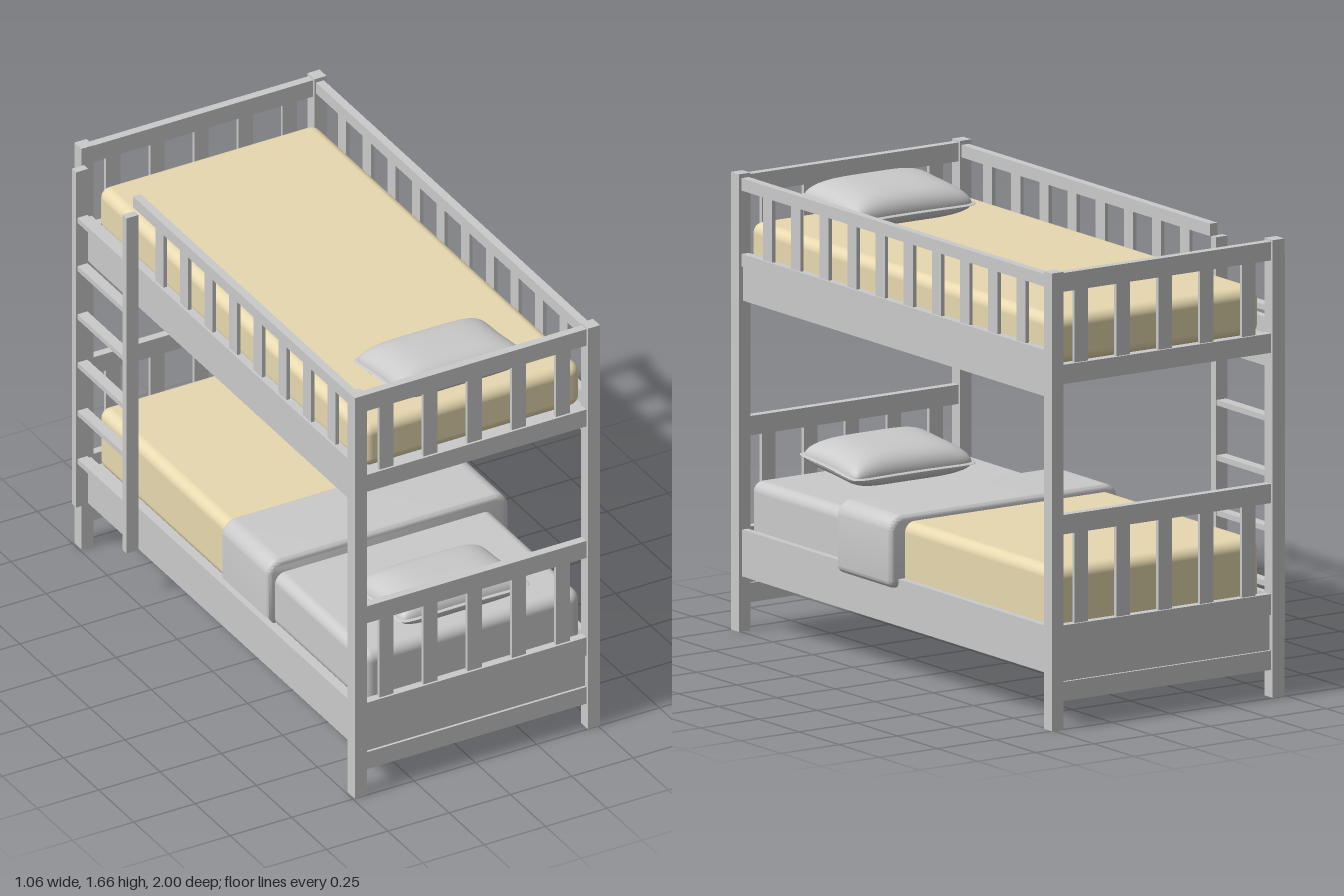
import * as THREE from 'three';
import { mergeVertices, toCreasedNormals } from 'three/addons/utils/BufferGeometryUtils.js';
import { RoundedBoxGeometry } from 'three/addons/geometries/RoundedBoxGeometry.js';

const grey = new THREE.MeshStandardMaterial({ color: 0xcacaca });
grey.name = 'pale grey';
const tan = new THREE.MeshStandardMaterial({ color: 0xeadbb1 });
tan.name = 'sand';

const CX = 0.008; // centre line of the frame, offset by the ladder

function add(parent, name, geometry, material = grey) {
  const mesh = new THREE.Mesh(geometry, material);
  mesh.name = name;
  parent.add(mesh);
  return mesh;
}

// Box given by its limits; a radius gives rounded edges
function block(parent, name, [x0, x1], [y0, y1], [z0, z1], material = grey, radius = 0) {
  const size = [x1 - x0, y1 - y0, z1 - z0];
  const geometry = radius
    ? new RoundedBoxGeometry(...size, 5, radius)
    : new THREE.BoxGeometry(...size);
  const mesh = add(parent, name, geometry, material);
  mesh.position.set((x0 + x1) / 2, (y0 + y1) / 2, (z0 + z1) / 2);
  return mesh;
}

const around = (centre, width) => [centre - width / 2, centre + width / 2];

// Half of a cushion: a sheet with pinched sides and rounded corners that bulges upwards
function bulge(width, depth, height) {
  let geometry = new THREE.PlaneGeometry(2, 2, 32, 32).rotateX(-Math.PI / 2);
  const p = geometry.attributes.position;
  for (let i = 0; i < p.count; i++) {
    const u = Math.sin(p.getX(i) * Math.PI / 2);
    const v = Math.sin(p.getZ(i) * Math.PI / 2);
    const corner = 1 - 0.09 * Math.pow(u * v, 6);
    const x = u * width / 2 * (1 - 0.06 * (1 - v * v)) * corner;
    const z = v * depth / 2 * (1 - 0.06 * (1 - u * u)) * corner;
    const y = height * Math.sqrt(Math.max(0, (1 - u ** 4) * (1 - v ** 4)));
    p.setXYZ(i, x, y, z);
  }
  geometry.deleteAttribute('normal');
  geometry.deleteAttribute('uv');
  geometry = mergeVertices(geometry);
  geometry.computeVertexNormals();
  return geometry;
}

function pillow(parent, name, mattressTop) {
  const group = new THREE.Group();
  group.name = name;
  add(group, 'pillowTop', bulge(0.535, 0.365, 0.076));
  add(group, 'pillowBottom', bulge(0.535, 0.365, 0.056)).rotation.x = Math.PI;
  // Flat seam around the edge
  add(group, 'seamTop', bulge(0.56, 0.39, 0.009));
  add(group, 'seamBottom', bulge(0.56, 0.39, 0.009)).rotation.x = Math.PI;
  group.position.set(0.003, mattressTop + 0.056, 0.753);
  group.rotation.x = -0.1;
  parent.add(group);
}

// Folded cover: rounded cross-section drawn across the bed, with softened edges
function foldedCover(parent, [x0, x1], [y0, y1], [z0, z1]) {
  const bevel = 0.02, r = 0.04;
  const l = x0 + bevel, right = x1 - bevel, b = y0 + bevel, t = y1 - bevel;
  const shape = new THREE.Shape();
  shape.moveTo(l, b);
  shape.lineTo(right - 0.012, b);
  shape.quadraticCurveTo(right, b, right, b + 0.012);
  shape.lineTo(right, t - r);
  shape.absarc(right - r, t - r, r, 0, Math.PI / 2, false);
  shape.lineTo(l + r, t);
  shape.absarc(l + r, t - r, r, Math.PI / 2, Math.PI, false);
  shape.closePath();
  const geometry = new THREE.ExtrudeGeometry(shape, {
    depth: z1 - z0 - 2 * bevel, bevelSize: bevel, bevelThickness: bevel, bevelSegments: 5, curveSegments: 10,
  });
  const mesh = add(parent, 'blanketFold', toCreasedNormals(geometry, 0.7));
  mesh.position.z = z0 + bevel;
}

export function createModel() {
  const bed = new THREE.Group();
  bed.name = 'bunkBed';
  const inner = [CX - 0.45, CX + 0.45];

  // Corner posts
  for (const sx of [-1, 1]) {
    for (const sz of [-1, 1]) {
      block(bed, 'post', around(CX + sx * 0.475, 0.05), [0, 1.66], around(sz * 0.975, 0.05));
    }
  }

  // Head and foot ends: rails, recessed panel and slats
  for (const s of [-1, 1]) {
    const z = s * 0.974;
    for (const y of [[0.10, 0.17], [0.30, 0.375], [0.705, 0.775], [1.25, 1.32], [1.585, 1.653]]) {
      block(bed, 'endRail', inner, y, around(z, 0.032));
    }
    block(bed, 'endPanel', inner, [0.17, 0.30], around(z, 0.012));
    for (let i = -2; i <= 2; i++) {
      const x = around(CX + i * 0.18, 0.058);
      block(bed, 'lowerEndSlat', x, [0.375, 0.705], around(z, 0.014));
      block(bed, 'upperEndSlat', x, [1.32, 1.585], around(z, 0.014));
    }
  }

  // Long sides; the right guard rail stops short at the ladder
  const length = [-0.95, 0.95];
  for (const s of [-1, 1]) {
    const x = CX + s * 0.473;
    block(bed, 'lowerSideBoard', around(x, 0.026), [0.20, 0.37], length);
    block(bed, 'upperSideBoard', around(x, 0.02), [1.20, 1.325], length);
    block(bed, 'guardBottomRail', around(x, 0.032), [1.325, 1.37], length);
    block(bed, 'guardTopRail', around(x, 0.032), [1.60, 1.645], [s < 0 ? -0.60 : -0.95, 0.95]);
    const slats = s < 0 ? 8 : 10;
    for (let i = 0; i < slats; i++) {
      block(bed, 'guardSlat', around(x, 0.014), [1.37, 1.60], around(0.8 - i * 0.1755, 0.058));
    }
  }

  // Bed bases
  const baseX = [CX - 0.465, CX + 0.465];
  block(bed, 'lowerBase', baseX, [0.30, 0.325], [-0.962, 0.962]);
  block(bed, 'upperBase', baseX, [1.285, 1.31], [-0.962, 0.962]);

  // Ladder on the right side
  const ladder = new THREE.Group();
  ladder.name = 'ladder';
  for (const z of [-0.935, -0.575]) {
    block(ladder, 'ladderRail', [-0.53, -0.481], [0.20, 1.59], around(z, 0.03));
  }
  for (let i = 0; i < 6; i++) {
    block(ladder, 'rung', [-0.525, -0.484], around(0.39 + i * 0.2, 0.02), [-0.92, -0.59]);
  }
  bed.add(ladder);

  // Bedding
  block(bed, 'upperMattress', [-0.426, 0.466], [1.31, 1.485], [-0.953, 0.947], tan, 0.04);
  block(bed, 'lowerMattress', [-0.425, 0.463], [0.325, 0.546], [-0.94, 0.95], grey, 0.04);
  block(bed, 'blanket', [-0.427, 0.466], [0.326, 0.573], [-0.95, 0.05], tan, 0.04);
  foldedCover(bed, [-0.455, 0.53], [0.336, 0.60], [-0.024, 0.315]);
  pillow(bed, 'lowerPillow', 0.546);
  pillow(bed, 'upperPillow', 1.485);

  return bed;
}
